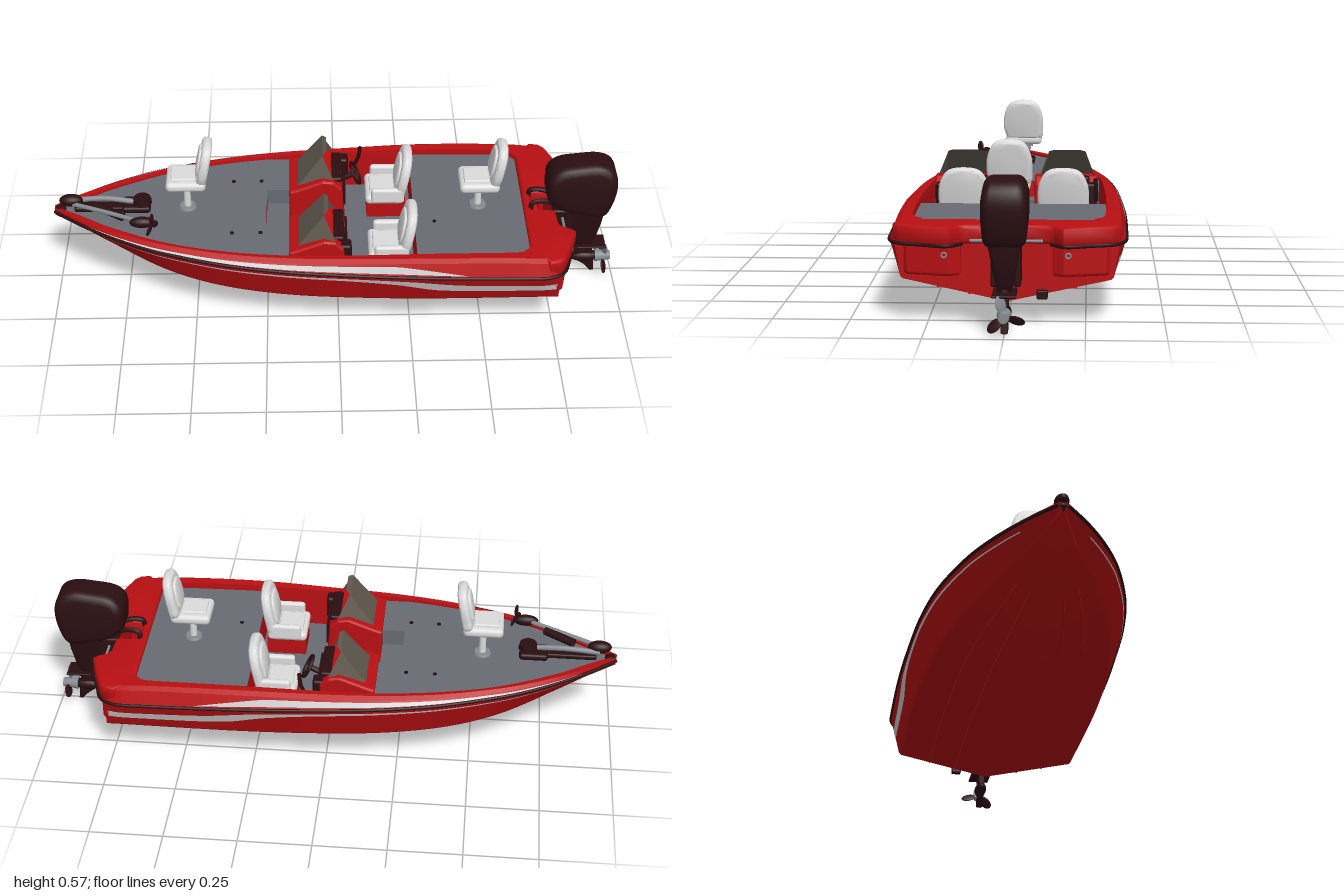
import * as THREE from 'three';
import { toCreasedNormals } from 'three/addons/utils/BufferGeometryUtils.js';
import { RoundedBoxGeometry } from 'three/addons/geometries/RoundedBoxGeometry.js';

const mat = (name, color, double) => new THREE.MeshStandardMaterial({ name, color, side: double ? THREE.DoubleSide : THREE.FrontSide });
const red = mat('hull red', 0xb80f12, true), dark = mat('motor dark', 0x2a0e11, true), grey = mat('deck grey', 0x686b73, true);
const white = mat('seat white', 0xdcdcdc), stripeMat = mat('stripe silver', 0xcfcfcf, true);
const glass = mat('smoked glass', 0x5e574d, true), metal = mat('metal', 0x858a90, true);
const V = (x, y, z) => new THREE.Vector3(x, y, z);
const lerp = THREE.MathUtils.lerp;

// Smooth lookup in a table of [x, value] pairs
function look(t, x) {
  if (x <= t[0][0]) return t[0][1];
  const n = t.length - 1;
  if (x >= t[n][0]) return t[n][1];
  const i = t.findIndex(p => p[0] > x) - 1;
  const slope = k => { const a = t[Math.max(k - 1, 0)], b = t[Math.min(k + 1, n)]; return (b[1] - a[1]) / (b[0] - a[0]); };
  const h = t[i + 1][0] - t[i][0], u = (x - t[i][0]) / h, u2 = u * u, u3 = u2 * u;
  return (2 * u3 - 3 * u2 + 1) * t[i][1] + (u3 - 2 * u2 + u) * h * slope(i) + (3 * u2 - 2 * u3) * t[i + 1][1] + (u3 - u2) * h * slope(i + 1);
}

// Hull lines along the length, bow at -x
const keelY = [[-1, .275], [-.87, .2], [-.7, .125], [-.6, .09], [-.5, .07], [-.38, .062], [0, .061], [.76, .068]];
const chineW = [[-1, .004], [-.9, .045], [-.8, .095], [-.6, .195], [-.4, .262], [-.2, .3], [0, .318], [.3, .33], [.76, .33]];
const chineY = [[-1, .28], [-.9, .25], [-.8, .222], [-.6, .175], [-.4, .152], [0, .14], [.76, .14]];
const rimW = [[-1, .012], [-.95, .052], [-.9, .092], [-.8, .158], [-.7, .212], [-.6, .255], [-.4, .316], [-.2, .35], [0, .366], [.3, .379], [.65, .378], [.72, .373], [.76, .355]];
const rimY = [[-1, .295], [-.5, .285], [0, .27], [.76, .252]];
const topY = [[-1, .311], [-.5, .312], [0, .318], [.3, .325], [.6, .322], [.76, .312]];
const deckW = [[-1, .002], [-.95, .025], [-.9, .055], [-.8, .12], [-.6, .215], [-.4, .27], [-.2, .3], [0, .31], [.3, .315], [.6, .31], [.64, .3], [.66, .275]];
const DECK = .3, FLOOR = .17;
const section = x => {
  const w = look(rimW, x), cw = look(chineW, x), cy = look(chineY, x), ry = look(rimY, x), ty = look(topY, x), dw = look(deckW, x);
  return [[look(keelY, x), 0], [cy, cw], [cy + .008, cw + .008 * Math.min(1, w * 5)], [ry, w], [ry + .008, w],
    [ty - .01, w * .955], [ty, w * .91], [ty - .002, dw + .003 * w], [DECK, dw]];
};
const at = i => x => section(x)[i];
const range = (a, b, n) => Array.from({ length: n + 1 }, (_, i) => lerp(a, b, i / n));

// Surface between two lines, each giving [y, z] at x
function strip(a, b, xs, s) {
  const pos = [], idx = [];
  xs.forEach((x, i) => {
    for (const [y, z] of [a(x), b(x)]) pos.push(x, y, z * s);
    if (i) { const k = 2 * i - 2; idx.push(...(s > 0 ? [k, k + 2, k + 1, k + 1, k + 2, k + 3] : [k, k + 1, k + 2, k + 1, k + 3, k + 2])); }
  });
  const g = new THREE.BufferGeometry().setAttribute('position', new THREE.Float32BufferAttribute(pos, 3)).setIndex(idx);
  g.computeVertexNormals();
  return g;
}
const shape = pts => new THREE.Shape(pts.map(p => new THREE.Vector2(...p)));
function extrude(pts, depth, bevel = 0) {
  return new THREE.ExtrudeGeometry(shape(pts), { depth: depth - 2 * bevel, bevelEnabled: bevel > 0, bevelSize: bevel, bevelThickness: bevel, bevelOffset: -bevel, bevelSegments: 4 })
    .translate(0, 0, bevel);
}
const smoothLoop = pts => new THREE.SplineCurve([...pts, pts[0]].map(p => new THREE.Vector2(...p))).getPoints(44).slice(0, -1).map(p => [p.x, p.y]);
// Side profile in x,y, rounded across z and scaled in width by height
function body(pts, width, bevel, scale = () => 1) {
  const g = extrude(pts, width, bevel).translate(0, 0, -width / 2), p = g.attributes.position;
  for (let i = 0; i < p.count; i++) p.setZ(i, p.getZ(i) * scale(p.getY(i)));
  return toCreasedNormals(g, .75);
}

export function createModel() {
  const model = new THREE.Group();
  const add = (name, geo, m, parent = model) => { const o = new THREE.Mesh(geo, m); o.name = name; parent.add(o); return o; };
  const box = (name, x0, x1, y0, y1, z0, z1, m, r = 0) => add(name, (r ? new RoundedBoxGeometry(x1 - x0, y1 - y0, Math.abs(z1 - z0), 3, r)
    : new THREE.BoxGeometry(x1 - x0, y1 - y0, Math.abs(z1 - z0))).translate((x0 + x1) / 2, (y0 + y1) / 2, (z0 + z1) / 2), m);
  const rod = (name, pts, r, m) => add(name, new THREE.TubeGeometry(new THREE.CatmullRomCurve3(pts.map(p => V(...p))), pts.length * 6, r, 8), m);
  const ball = (name, x, y, z, rx, ry, rz, m) => add(name, new THREE.SphereGeometry(1, 20, 14).scale(rx, ry, rz).translate(x, y, z), m);

  const xs = range(-1, .76, 70), cockpit = range(-.25, .27, 16);
  for (const s of [1, -1]) {
    // Hull panels from keel to inner gunwale
    ['bottom', 'chine', 'hullSide', 'rimBand', 'gunwaleSide', 'gunwaleShoulder', 'gunwaleTop', 'coaming']
      .forEach((n, i) => add(n, strip(at(i), at(i + 1), xs, s), red));
    for (const f of [.35, .65]) {
      const run = (df, dy) => x => { const c = section(x); return [lerp(c[0][0], c[1][0], f + df) + dy, lerp(0, c[1][1], f + df)]; };
      add('strake', strip(run(-.03, 0), run(.02, -.007), range(-.7, .75, 24), s), red);
      add('strakeEdge', strip(run(.02, -.007), run(.025, 0), range(-.7, .75, 24), s), red);
    }
    // Decks, cockpit floor and cockpit sides
    const flat = y => [x => [y, look(deckW, x)], () => [y, 0]];
    add('frontDeck', strip(...flat(DECK), range(-1, -.25, 24), s), grey);
    add('rearDeck', strip(...flat(DECK), range(.27, .665, 20), s), grey);
    add('cockpitFloor', strip(...flat(FLOOR), cockpit, s), grey);
    add('cockpitSide', strip(at(8), x => [FLOOR, look(deckW, x)], cockpit, s), red);
    box('deckSide', -.25, -.17, FLOOR, DECK, s * .1, s * .294, grey);
    // Side stripes
    const low = t => x => {
      const c = section(x), y = look(t, x), u = (y - c[2][0]) / (c[3][0] - c[2][0]);
      return [y, lerp(c[2][1], c[3][1], u) + .003];
    };
    const lowTop = [[-.85, .277], [0, .258], [.25, .246], [.42, .226], [.75, .215]];
    const lowEnd = [[-.85, .274], [0, .246], [.2, .228], [.35, .197], [.75, .188]];
    add('lowerStripe', strip(low(lowEnd), low(lowTop), range(-.85, .75, 50), s), stripeMat);
    const high = (t0, t1) => x => {
      const c = section(x), u = lerp(t0, t1, Math.max(0, (x - .2) / .24));
      return [lerp(c[4][0], c[5][0], u) + .001, lerp(c[4][1], c[5][1], u) + .003];
    };
    add('upperStripe', strip(high(.2, .1), high(.8, .12), range(-.96, .44, 44), s), stripeMat);
    // Rub rail wrapping onto the stern
    rod('rubRail', [...range(-1, .72, 20).map(x => [x, look(rimY, x) + .004, s * (look(rimW, x) + .001)]),
      [.772, .256, s * .345], [.8, .256, s * .27], [.831, .257, s * .185], [.785, .257, s * .14]], .006, dark);
    // Stern pod below the platform
    add('sternPod', extrude([[.74, s * .145], [.785, s * .145], [.808, s * .18], [.775, s * .315], [.755, s * .33], [.74, s * .33]], .11, .012)
      .rotateX(-Math.PI / 2).translate(0, .155, 0), red);
    add('towEye', new THREE.TorusGeometry(.008, .003, 6, 14).rotateY(Math.PI / 2).translate(.81, .225, s * .195), metal);

    // Console with dash and wraparound windshield
    const con = extrude([[-.17, FLOOR], [.03, FLOOR], [.02, .325], [-.01, .352], [-.05, .357], [-.14, .322], [-.17, .312]], .225, .01);
    add('console', con.translate(0, 0, s * .1775 - .1125), red);
    add('dashPanel', new THREE.BoxGeometry(.008, .075, .18).translate(.028, .28, s * .175), dark);
    box('dashHood', -.02, .02, .335, .355, s * .09, s * .26, dark, .008);
    box('glovePocket', -.01, .045, .25, .335, s * .235, s * .285, dark, .01);
    const q = [[-.14, .32, .095], [-.14, .32, .26], [-.05, .437, .245], [-.05, .437, .115], [0, .33, .075], [0, .33, .287], [-.035, .444, .225], [-.035, .444, .135]];
    const w = [0, 1, 2, 0, 2, 3, 0, 3, 4, 1, 5, 2, 3, 2, 6, 3, 6, 7].flatMap(i => [q[i][0], q[i][1], q[i][2] * s]);
    const wg = new THREE.BufferGeometry().setAttribute('position', new THREE.Float32BufferAttribute(w, 3));
    wg.computeVertexNormals();
    add('windshield', wg, glass);
  }
  // Bulkheads, step and transom
  box('frontBulkhead', -.254, -.25, FLOOR, .299, -.28, .28, red);
  box('rearBulkhead', .27, .274, FLOOR, .299, -.305, .305, red);
  box('step', -.25, -.17, FLOOR, .24, -.1, .1, grey);
  box('coolerLid', -.17, -.08, FLOOR, .2, -.05, .05, grey, .008);
  const half = section(.76).slice(0, 7).map(([y, z]) => [z, y]);
  add('transom', new THREE.ShapeGeometry(shape([...half, ...half.slice(1).reverse().map(([z, y]) => [-z, y])])).rotateY(Math.PI / 2).translate(.76, 0, 0), red);
  const stern = [[.66, .3], [.72, .365], [.755, .358], [.775, .338], [.805, .26], [.83, .18], [.815, .165], [.785, .15], [.775, .13], [.77, .055], [.69, .05]];
  add('sternPlatform', toCreasedNormals(extrude([...stern, ...stern.map(([x, z]) => [x, -z]).reverse()], .062, .014)
    .rotateX(-Math.PI / 2).translate(0, .254, 0), .7), red);
  ball('bowCap', -.98, .302, 0, .02, .012, .022, dark);

  // Steering wheel and throttle
  add('steeringWheel', new THREE.TorusGeometry(.04, .006, 8, 24).rotateY(Math.PI / 2).rotateZ(.45).translate(.07, .32, -.175), dark);
  rod('steeringColumn', [[.02, .295, -.175], [.07, .32, -.175]], .01, dark);
  rod('throttle', [[.07, .28, -.285], [.085, .32, -.283], [.09, .36, -.28]], .007, dark);

  // Seats, facing the bow
  function seat(name, x, y, z, w, h, bolster) {
    const g = new THREE.Group();
    g.name = name;
    add('cushion', new RoundedBoxGeometry(.14, .036, w * .92, 4, .016).translate(0, .018, 0), white, g);
    add('cushionPad', new RoundedBoxGeometry(.09, .014, w * .6, 3, .006).translate(-.01, .036, 0), white, g);
    const a = w / 2, back = smoothLoop([[-a * .8, 0], [a * .8, 0], [a, h * .3], [a * .92, h * .7], [a * .5, h * .97], [-a * .5, h * .97], [-a * .92, h * .7], [-a, h * .3]]);
    const place = (geo, dx) => geo.rotateY(Math.PI / 2).translate(dx, 0, 0).rotateZ(-.2).translate(.045, .025, 0);
    add('backrest', place(toCreasedNormals(extrude(back, .034, .013), .8), -.01), white, g);
    add('backPad', place(toCreasedNormals(extrude(back.map(([u, v]) => [u * .66, v * .66 + h * .17]), .014, .005), .8), -.018), white, g);
    if (bolster) for (const s of [1, -1]) add('bolster', new RoundedBoxGeometry(.12, .06, .024, 3, .011).translate(.01, .04, s * (a - .012)), white, g);
    g.position.set(x, y, z);
    model.add(g);
  }
  for (const [n, x, y, z] of [['bowSeat', -.53, .405, -.008], ['rearSeat', .5, .39, 0]]) {
    seat(n, x, y, z, .148, .15, false);
    add('pedestal', new THREE.CylinderGeometry(.011, .013, y - DECK, 16).translate(x, (y + DECK) / 2, z), white);
    add('pedestalBase', new THREE.CylinderGeometry(.028, .032, .008, 20).translate(x, DECK + .004, z), metal);
    box('seatMount', x - .04, x + .04, y - .008, y + .003, z - .035, z + .035, metal);
  }
  for (const s of [1, -1]) {
    seat('cockpitSeat', .175, .235, s * .17, .175, .165, true);
    box('seatBox', .11, .25, FLOOR, .24, s * .11, s * .23, red);
  }

  // Outboard motor
  const cowl = smoothLoop([[.742, .35], [.742, .43], [.78, .473], [.85, .486], [.92, .49], [.97, .465], [.987, .41], [.975, .33], [.945, .275], [.87, .283], [.79, .305]]);
  add('motorCowl', body(cowl, .144, .028, y => y > .42 ? 1 - 2.2 * (y - .42) : 1 - .9 * Math.max(0, .36 - y)), dark);
  add('motorLeg', body([[.825, .3], [.95, .3], [.945, .24], [.93, .16], [.915, .13], [.85, .13], [.835, .17]], .11, .016, y => .42 + 3.4 * Math.max(0, y - .13)), dark);
  add('lowerLeg', body([[.855, .14], [.92, .14], [.93, .07], [.938, .004], [.925, .002], [.9, .03], [.865, .055]], .024, .006), dark);
  box('cavitationPlate', .84, .97, .122, .13, -.038, .038, dark, .003);
  ball('gearcase', .9, .065, 0, .055, .022, .022, dark);
  add('propHub', new THREE.CylinderGeometry(.016, .023, .055, 20).rotateZ(-Math.PI / 2).translate(.965, .065, 0), metal);
  for (let i = 0; i < 3; i++) {
    const blade = new THREE.SphereGeometry(1, 14, 10).scale(.004, .028, .019).rotateY(.6).translate(0, .04, 0).rotateX(i * Math.PI * 2 / 3 + .25);
    add('propBlade', blade.translate(.968, .065, 0), i ? dark : metal);
  }
  for (const s of [1, -1]) {
    box('clampBracket', .762, .84, .13, .3, s * .025, s * .048, dark, .008);
    rod('steeringRam', [[.8, .27, s * .03], [.8, .27, s * .115]], .005, metal);
    rod('rigging', [[.685, .3, s * .045], [.69, .33, s * .04], [.73, .336, s * .035], [.79, .315, s * .03]], .009, dark);
  }
  box('swivelBracket', .775, .85, .15, .28, -.026, .026, dark, .008);
  rod('trimRod', [[.785, .11, 0], [.785, .16, 0]], .012, metal);
  box('transducer', .76, .785, .08, .108, -.13, -.095, dark, .004);

  // Bow trolling motor, folded on the deck
  box('trollingBase', -.93, -.74, .3, .318, -.022, .022, dark, .006);
  rod('mountArm', [[-.94, .33, -.012], [-.82, .338, -.01], [-.72, .33, 0]], .01, metal);
  rod('trollingShaft', [[-.95, .335, .012], [-.82, .342, .075], [-.67, .346, .15]], .008, metal);
  rod('shaftSleeve', [[-.85, .335, .03], [-.75, .335, .1]], .015, dark);
  ball('trollingHead', -.94, .342, .005, .042, .022, .024, dark);
  ball('trollingPod', -.68, .345, .145, .045, .02, .02, dark);
  for (const a of [0, 1, 2]) add('trollingBlade', new THREE.SphereGeometry(1, 12, 8).scale(.005, .023, .013).translate(0, .022, 0)
    .rotateX(a * 2.094).rotateY(-.45).translate(-.645, .35, .165), dark);
  box('footPedal', -.76, -.66, .3, .325, -.045, .035, dark, .01);
  add('pedalDisc', new THREE.CylinderGeometry(.03, .034, .022, 20).translate(-.69, .336, 0), dark);
  // Deck latches and rod holder lids
  for (const [x, z] of [[-.37, .155], [-.37, -.155], [-.27, .155], [-.27, -.155], [.34, .1]])
    add('deckLatch', new THREE.CylinderGeometry(.007, .007, .004, 12).translate(x, DECK + .002, z), dark);
  return model;
}
